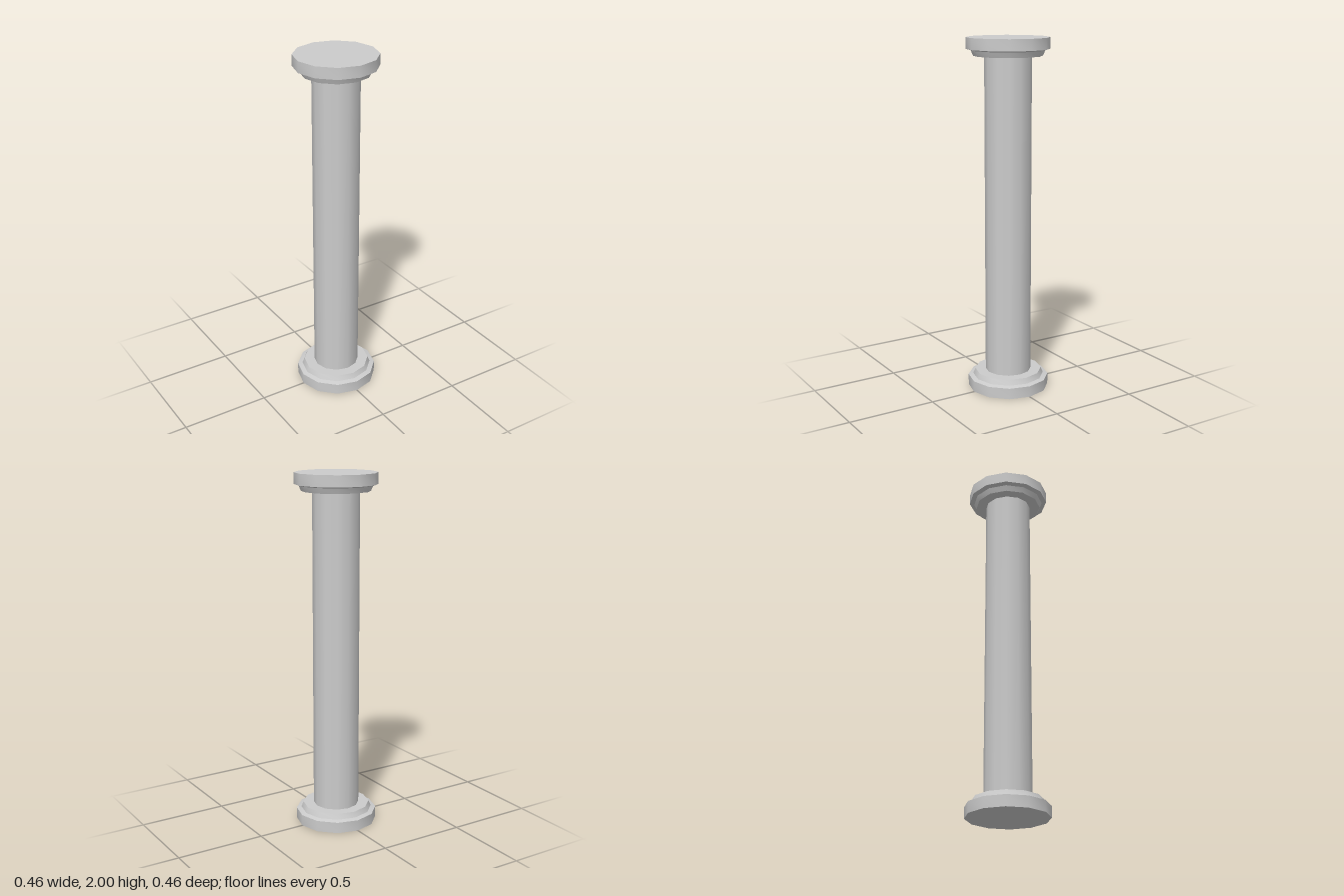
import * as THREE from 'three';
import { toCreasedNormals } from 'three/addons/utils/BufferGeometryUtils.js';

const SIDES = 12;
const HEIGHT = 2;
const SHAFT_RADIUS = 0.13;
const END_HEIGHT = 0.1;

// Base moulding, from the centre of the underside up to the shaft
const MOULDING = [
  [0, 0],
  [0.23, 0],
  [0.23, 0.063],
  [0.203, 0.07],
  [0.19, END_HEIGHT],
  [SHAFT_RADIUS, END_HEIGHT],
];

export function createModel() {
  const material = new THREE.MeshStandardMaterial({ color: 0xcccccc });
  const column = new THREE.Group();
  column.name = 'column';

  function add(name, geometry) {
    const mesh = new THREE.Mesh(geometry, material);
    mesh.name = name;
    column.add(mesh);
    return mesh;
  }

  // Round shaft, open where it meets the mouldings
  const shaftHeight = HEIGHT - 2 * END_HEIGHT;
  const shaft = new THREE.CylinderGeometry(SHAFT_RADIUS, SHAFT_RADIUS, shaftHeight, SIDES, 1, true);
  add('shaft', shaft).position.y = HEIGHT / 2;

  // Base, and the same moulding upside down as the capital
  const profile = MOULDING.map(([r, y]) => new THREE.Vector2(r, y));
  const moulding = toCreasedNormals(new THREE.LatheGeometry(profile, SIDES), 0.7);
  add('base', moulding);
  const capital = add('capital', moulding);
  capital.rotation.x = Math.PI;
  capital.position.y = HEIGHT;

  return column;
}
